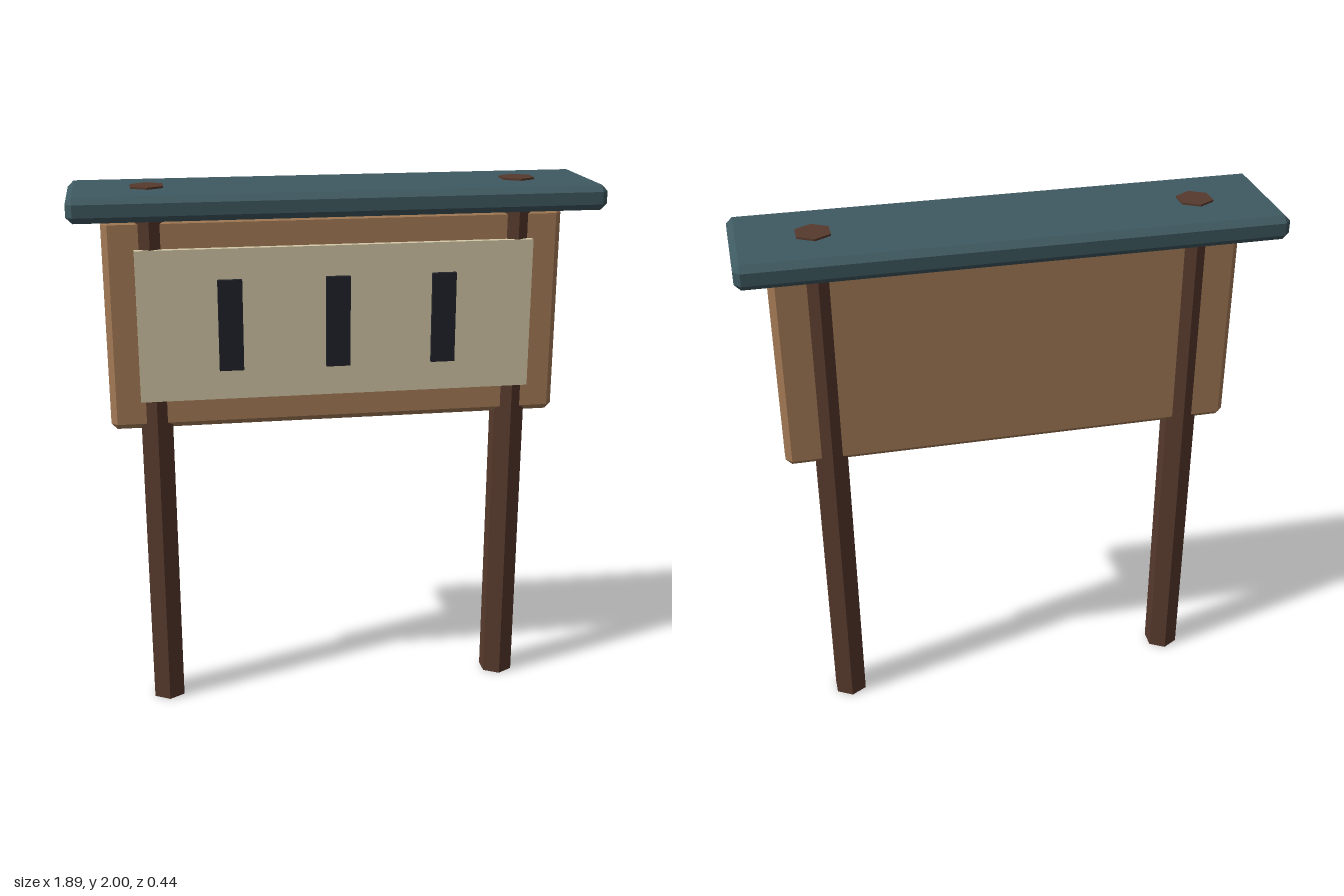
import * as THREE from 'three';
import { ConvexGeometry } from 'three/addons/geometries/ConvexGeometry.js';

const material = (color) => new THREE.MeshStandardMaterial({ color, flatShading: true });

// Box with every edge cut by one flat chamfer of width c
function chamferBox(w, h, d, c) {
  const x = w / 2, y = h / 2, z = d / 2;
  const points = [];
  for (const sx of [-1, 1]) for (const sy of [-1, 1]) for (const sz of [-1, 1]) {
    points.push(
      new THREE.Vector3(sx * x, sy * (y - c), sz * (z - c)),
      new THREE.Vector3(sx * (x - c), sy * y, sz * (z - c)),
      new THREE.Vector3(sx * (x - c), sy * (y - c), sz * z)
    );
  }
  return new ConvexGeometry(points);
}

export function createModel() {
  const model = new THREE.Group();
  model.name = 'noticeBoard';

  const add = (name, geometry, mat, x, y, z) => {
    const mesh = new THREE.Mesh(geometry, mat);
    mesh.name = name;
    mesh.position.set(x, y, z);
    model.add(mesh);
  };

  const darkWood = material(0x573a2d);
  const lightWood = material(0xa67c57);
  const paper = material(0xd4c8a8);
  const ink = material(0x20232a);
  const slate = material(0x3f5a61);

  // Hexagonal posts, running up through the roof
  const postGeometry = new THREE.CylinderGeometry(0.066, 0.066, 2, 6);
  add('leftPost', postGeometry, darkWood, 0.667, 1, 0);
  add('rightPost', postGeometry, darkWood, -0.667, 1, 0);

  // Backing board and the pale panel on its front
  add('board', chamferBox(1.668, 0.776, 0.088, 0.022), lightWood, 0, 1.504, 0);
  add('panel', new THREE.BoxGeometry(1.446, 0.554, 0.026), paper, 0, 1.504, 0.055);

  // Three dark upright bars
  const barGeometry = new THREE.BoxGeometry(0.088, 0.333, 0.022);
  [-0.391, 0, 0.391].forEach((x, i) => add(`bar${i + 1}`, barGeometry, ink, x, 1.504, 0.074));

  // Flat roof slab
  add('roof', chamferBox(1.888, 0.088, 0.444, 0.022), slate, 0, 1.949, 0);

  return model;
}
